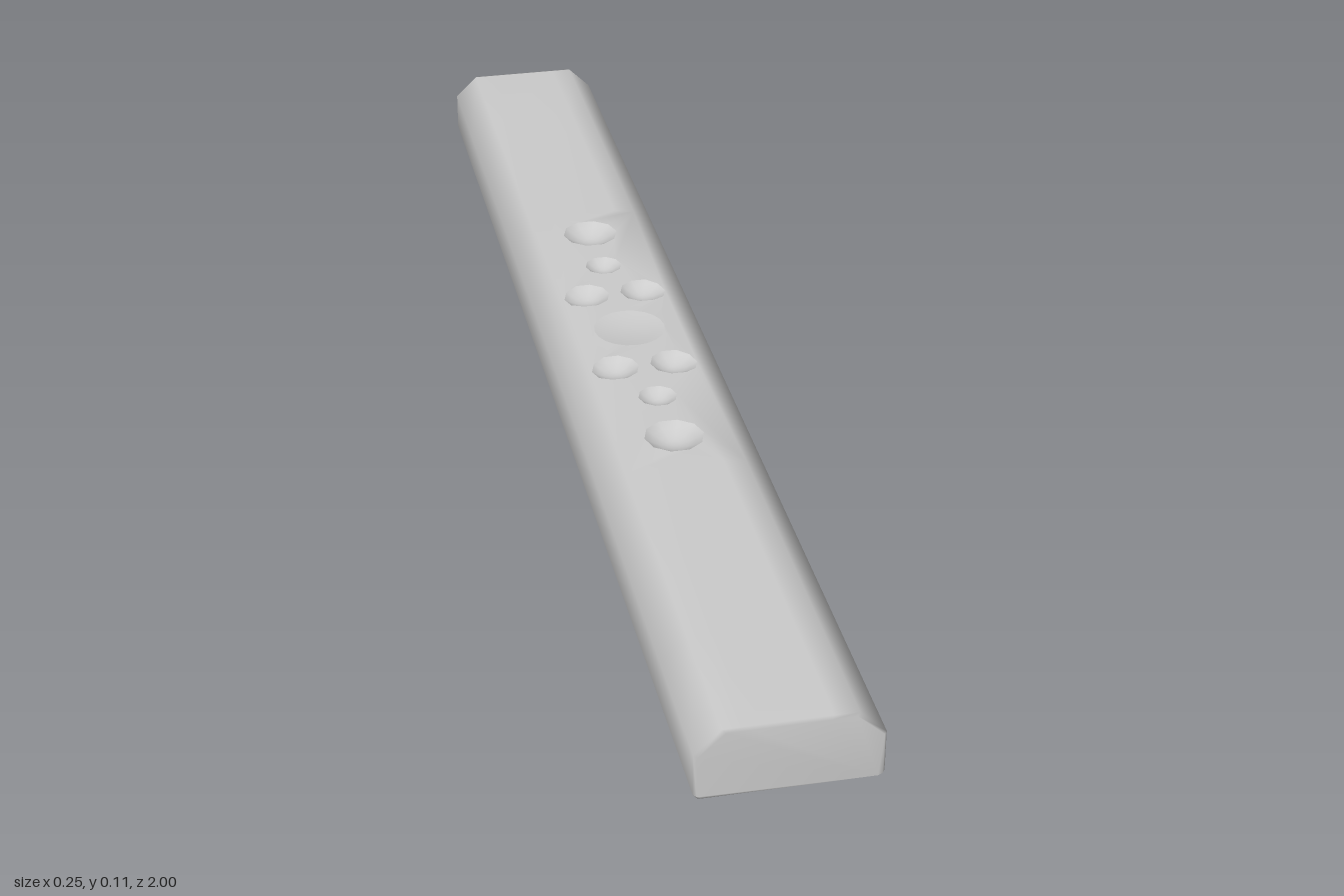
import * as THREE from 'three';
import { mergeGeometries, mergeVertices } from 'three/addons/utils/BufferGeometryUtils.js';

const EDGE_X = 0.088, EDGE_Y = 0.103, CROWN_X = 0.055, CROWN_Y = 0.108, PANEL_Z = 0.4;
const SIDES = 10;

// Height of the gently crowned top in the middle of the body
function topHeight(x) {
  const t = THREE.MathUtils.clamp((Math.abs(x) - CROWN_X) / (EDGE_X - CROWN_X), 0, 1);
  return THREE.MathUtils.lerp(CROWN_Y, EDGE_Y, t);
}

// Cross-section, counter-clockwise seen from the front; inset shrinks it at the ends
function section(z, crown, inset) {
  const half = [[0.118, 0], [0.124, 0.007], [0.124, 0.068], [EDGE_X, EDGE_Y], [CROWN_X, crown]];
  const all = [...half, ...half.map(([x, y]) => [-x, y]).reverse()];
  return all.map(([x, y]) => [
    x - Math.sign(x) * inset,
    inset ? THREE.MathUtils.clamp(y, inset, EDGE_Y - inset / 2) : y,
    z,
  ]);
}

// Lofted shell, open where the dented panel goes
function shellGeometry() {
  const ends = [[1, EDGE_Y, 0.004], [0.994, EDGE_Y, 0], [0.8, 0.1055, 0], [PANEL_Z, CROWN_Y, 0]];
  const stations = [
    ...ends.map(([z, c, i]) => section(-z, c, i)),
    ...ends.map(([z, c, i]) => section(z, c, i)).reverse(),
  ];
  const n = stations[0].length;
  const index = [];
  for (let s = 0; s < stations.length - 1; s++) {
    for (let i = 0; i < n; i++) {
      if (s === 3 && i >= 3 && i <= 5) continue;
      const j = (i + 1) % n, a = s * n, b = a + n;
      index.push(a + i, a + j, b + j, a + i, b + j, b + i);
    }
  }
  const last = (stations.length - 1) * n;
  for (let i = 1; i < n - 1; i++) {
    index.push(0, i + 1, i, last, last + i, last + i + 1);
  }
  const g = new THREE.BufferGeometry();
  g.setAttribute('position', new THREE.Float32BufferAttribute(stations.flat(2), 3));
  g.setIndex(index);
  return g;
}

// Top panel with a polygonal opening for every dent
function panelGeometry(dents) {
  const outline = [
    [-EDGE_X, -PANEL_Z], [-CROWN_X, -PANEL_Z], [CROWN_X, -PANEL_Z], [EDGE_X, -PANEL_Z],
    [EDGE_X, PANEL_Z], [CROWN_X, PANEL_Z], [-CROWN_X, PANEL_Z], [-EDGE_X, PANEL_Z],
  ];
  const shape = new THREE.Shape(outline.map(([x, y]) => new THREE.Vector2(x, y)));
  for (const { x, z, r, sides } of dents) {
    const pts = [];
    for (let i = 0; i < sides; i++) {
      const a = (i / sides) * Math.PI * 2;
      pts.push(new THREE.Vector2(x + r * Math.cos(a), -z + r * Math.sin(a)));
    }
    shape.holes.push(new THREE.Path(pts));
  }
  const g = new THREE.ShapeGeometry(shape).rotateX(-Math.PI / 2);
  const p = g.attributes.position;
  for (let i = 0; i < p.count; i++) p.setY(i, topHeight(p.getX(i)));
  g.deleteAttribute('normal');
  g.deleteAttribute('uv');
  return g;
}

// Shallow bowl whose rim follows the top surface
function dentGeometry({ x, z, r, depth, sides }) {
  let g = new THREE.RingGeometry(0, r, sides, 4).rotateX(-Math.PI / 2).translate(x, 0, z);
  const p = g.attributes.position;
  for (let i = 0; i < p.count; i++) {
    const d = Math.hypot(p.getX(i) - x, p.getZ(i) - z) / r;
    p.setY(i, topHeight(p.getX(i)) - depth * (1 - d * d));
  }
  g.deleteAttribute('normal');
  g.deleteAttribute('uv');
  g = mergeVertices(g, 1e-5);
  g.computeVertexNormals();
  return g;
}

export function createModel() {
  const model = new THREE.Group();
  model.name = 'slimHandset';
  const material = new THREE.MeshStandardMaterial({ color: 0xcccccc });

  // Dents mirrored to both sides of the central thumb rest
  const shift = -0.004;
  const dents = [{ name: 'centreThumbRest', x: 0, z: shift, r: 0.055, depth: 0.005, sides: 20 }];
  for (const s of [-1, 1]) {
    dents.push(
      { name: 'largeDent', x: 0, z: s * 0.323 + shift, r: 0.044, depth: 0.017, sides: SIDES },
      { name: 'smallDent', x: 0, z: s * 0.209 + shift, r: 0.029, depth: 0.012, sides: SIDES },
    );
    for (const m of [-1, 1]) {
      dents.push({ name: 'pairedDent', x: m * 0.045, z: s * 0.115 + shift, r: 0.036, depth: 0.015, sides: SIDES });
    }
  }

  // Body: shell and panel welded into one smooth surface
  const bodyGeometry = mergeVertices(mergeGeometries([shellGeometry(), panelGeometry(dents)]), 1e-5);
  bodyGeometry.computeVertexNormals();
  const body = new THREE.Mesh(bodyGeometry, material);
  body.name = 'body';
  model.add(body);

  for (const dent of dents) {
    const mesh = new THREE.Mesh(dentGeometry(dent), material);
    mesh.name = dent.name;
    model.add(mesh);
  }
  return model;
}
